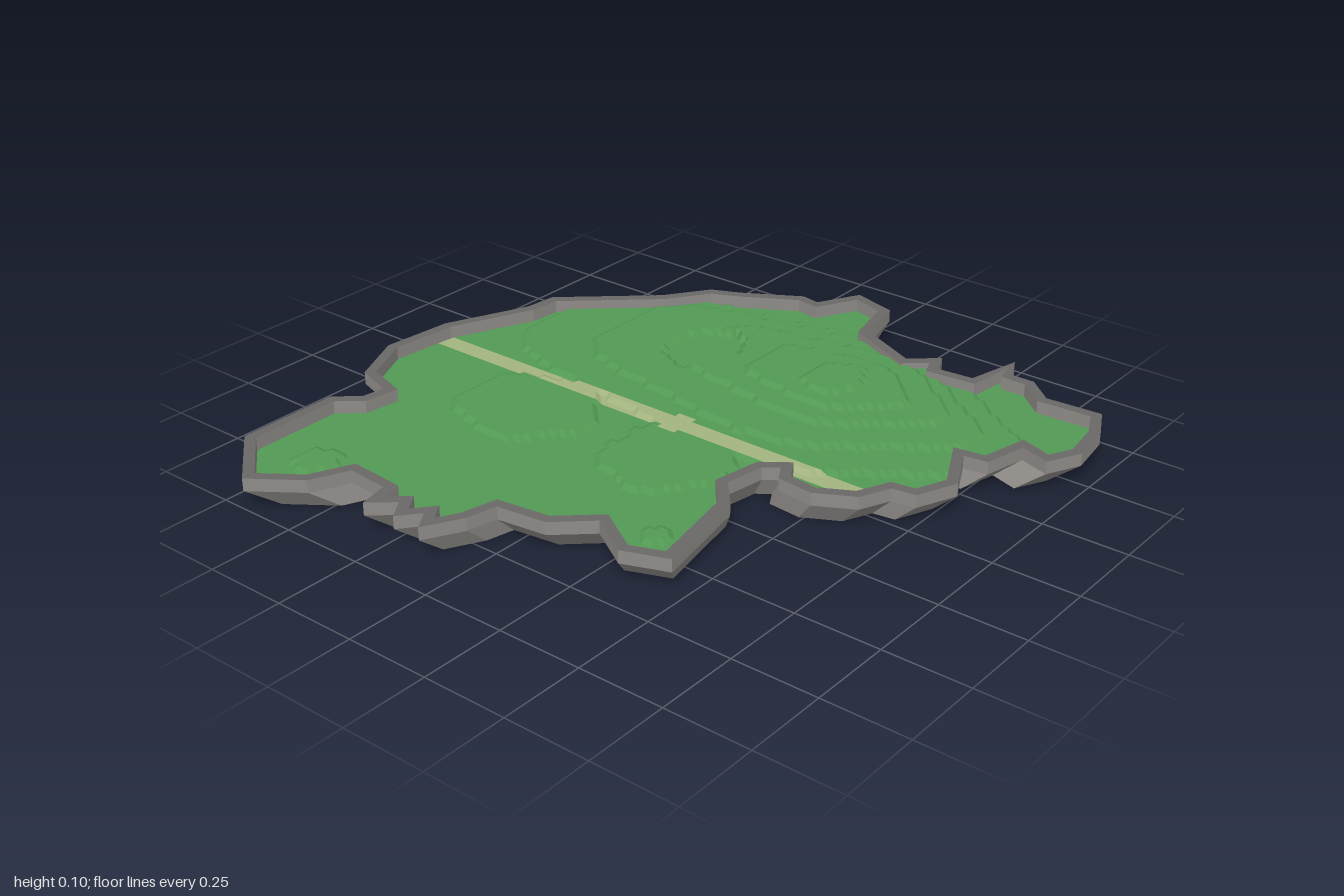
import * as THREE from 'three';

const mat = (name, color) => {
  const m = new THREE.MeshStandardMaterial({ color, flatShading: true, side: THREE.DoubleSide });
  m.name = name;
  return m;
};
const grass = mat('grass green', 0x539954);
const track = mat('pale track', 0xa2b47e);
const stone = mat('grey stone', 0x8e8b87);
const coping = mat('dark stone', 0x696867);

// Coastline as x, z pairs in hundredths of a unit
const COAST = [
  -19, -97, 3, -95, 28, -84, 38, -83, 61, -57, 74, -48, 78, -39, 88, -22, 87, -16, 100, -9, 96, 5, 79, 9,
  77, 13, 70, 28, 77, 36, 70, 39, 71, 50, 88, 54, 80, 58, 80, 65, 73, 73, 74, 90, 64, 95, 50, 97,
  40, 92, 43, 83, 30, 80, 29, 73, 15, 80, 3, 75, 2, 68, -7, 64, -13, 53, -12, 42, -7, 39, -10, 35,
  -22, 33, -30, 40, -61, 46, -66, 33, -58, 20, -67, 10, -69, -5, -78, -7, -89, -13, -83, -17, -89, -22,
  -83, -26, -89, -33, -80, -35, -79, -48, -90, -53, -100, -67, -84, -85, -53, -85, -47, -78, -40, -77, -36, -89];

// Oval terraces, later ones replacing earlier: level, centre x, z, radius x, z
const TERRACES = [
  [1, -0.17, -0.42, 0.19, 0.21], // western mounds
  [1, -0.15, 0.08, 0.2, 0.18],
  [1, 0.38, 0, 0.42, 0.82], // main hill
  [2, 0.42, 0.03, 0.34, 0.62],
  [3, 0.46, 0.12, 0.24, 0.42],
  [4, 0.46, 0.17, 0.16, 0.25],
  [5, 0.455, 0.195, 0.1, 0.08],
  [1, 0.42, -0.25, 0.13, 0.11], // hollow
  [1, -0.77, -0.64, 0.07, 0.06], // knolls
  [1, -0.5, 0.32, 0.04, 0.04],
];

function levelAt(x, z) {
  let level = 0;
  for (const [value, cx, cz, rx, rz] of TERRACES) {
    const dx = (x - cx) / rx, dz = (z - cz) / rz;
    const ripple = 0.06 * Math.sin(5 * Math.atan2(dz, dx));
    if (Math.hypot(dx, dz) < 1 + ripple) level = value;
  }
  return level;
}

function inside(x, z, poly) {
  let hit = false;
  poly.forEach((a, i) => {
    const b = poly[(i + 1) % poly.length];
    if ((a.y > z) !== (b.y > z) && x < (b.x - a.x) * (z - a.y) / (b.y - a.y) + a.x) hit = !hit;
  });
  return hit;
}

// Move a closed outline inwards, with limited mitres at the sharp points
function inset(points, d) {
  const n = points.length;
  const normal = (a, b) => new THREE.Vector2(a.y - b.y, b.x - a.x).normalize();
  return points.map((p, i) => {
    const n1 = normal(points[(i + n - 1) % n], p), n2 = normal(p, points[(i + 1) % n]);
    const k = d / Math.max(0.5, 1 + n1.dot(n2));
    return p.clone().add(n1.add(n2).multiplyScalar(k));
  });
}

function surface(name, positions, indices, material) {
  const g = new THREE.BufferGeometry();
  g.setAttribute('position', new THREE.Float32BufferAttribute(positions, 3));
  g.setIndex(indices);
  g.computeVertexNormals();
  const mesh = new THREE.Mesh(g, material);
  mesh.name = name;
  return mesh;
}

// Closed strip between two loops at their own heights
function strip(name, top, yTop, low, yLow, material) {
  const pos = [], idx = [], n = top.length;
  for (let i = 0; i < n; i++) {
    pos.push(top[i].x, yTop, top[i].y, low[i].x, yLow, low[i].y);
    const a = 2 * i, b = 2 * ((i + 1) % n);
    idx.push(a, b, a + 1, b, b + 1, a + 1);
  }
  return surface(name, pos, idx, material);
}

export function createModel() {
  const island = new THREE.Group();
  island.name = 'island';
  const RIM = 0.093, GROUND = 0.055, STEP = 0.01;
  const coast = [];
  for (let i = 0; i < COAST.length; i += 2) coast.push(new THREE.Vector2(COAST[i] / 100, COAST[i + 1] / 100));
  const inner = inset(coast, 0.031);
  const foot = coast.map(p => p.clone().multiplyScalar(0.92));

  // Rock rim and tapering skirt
  island.add(
    strip('rimOuterWall', coast, RIM, coast, GROUND, stone),
    strip('rimTop', inner, RIM, coast, RIM, coping),
    strip('rimInnerWall', inner, RIM, inner, GROUND, stone),
    strip('skirt', coast, GROUND, foot, 0, stone));

  // Stepped ground on a regular grid, with the track as its own cells
  const N = 101, CELL = 0.02, at = i => -1.01 + i * CELL;
  const pos = [], land = [], grassIdx = [], trackIdx = [];
  for (let j = 0; j <= N; j++) for (let i = 0; i <= N; i++) {
    pos.push(at(i), GROUND + levelAt(at(i), at(j)) * STEP, at(j));
    land.push(inside(at(i), at(j), coast));
  }
  for (let j = 0; j < N; j++) for (let i = 0; i < N; i++) {
    const a = j * (N + 1) + i, b = a + 1, c = a + N + 1, d = c + 1;
    if (!(land[a] && land[b] && land[c] && land[d])) continue;
    const x = at(i) + CELL / 2, z = at(j) + CELL / 2;
    const onTrack = (Math.abs(x) < 0.03 && z > -0.93 && z < 0.66) || Math.hypot(x, z + 0.02) < 0.053;
    (onTrack ? trackIdx : grassIdx).push(a, c, b, b, c, d);
  }
  island.add(surface('ground', pos, grassIdx, grass), surface('track', pos, trackIdx, track));
  return island;
}
